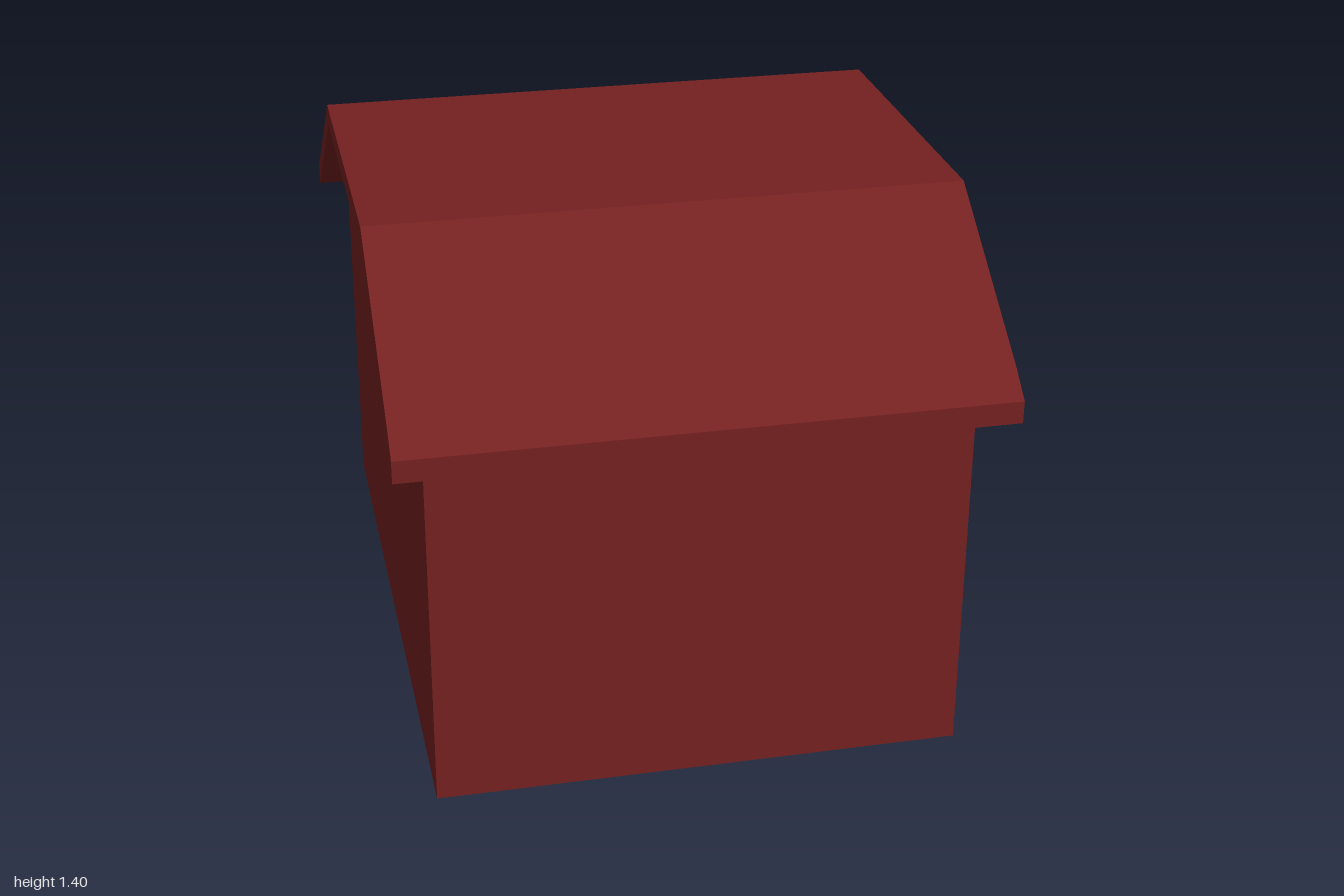
import * as THREE from 'three';

export function createModel() {
  const model = new THREE.Group();
  const red = new THREE.MeshStandardMaterial({ color: 0x742020, side: THREE.DoubleSide, flatShading: true });
  const grey = new THREE.MeshStandardMaterial({ color: 0xcccccc, side: THREE.DoubleSide, flatShading: true });

  const add = (name, geometry, material = red) => {
    const mesh = new THREE.Mesh(geometry, material);
    mesh.name = name;
    model.add(mesh);
    return mesh;
  };
  // Profiles are drawn as [-z, y] and turned to face +x
  const profile = (points) => new THREE.Shape(points.map(([a, y]) => new THREE.Vector2(a, y)));
  // Flat panels: upright across z, upright across x, or level
  const level = (x0, x1, z0, z1, y) => new THREE.PlaneGeometry(x1 - x0, z1 - z0)
    .rotateX(-Math.PI / 2).translate((x0 + x1) / 2, y, (z0 + z1) / 2);
  const upright = (x0, x1, height, z) => new THREE.PlaneGeometry(x1 - x0, height)
    .translate((x0 + x1) / 2, height / 2, z);

  const left = 0.685, right = -0.705, depth = 0.935, eave = 1.015;
  const doorHalf = 0.47, doorTop = 0.51, doorOut = 0.755, doorIn = 0.565;

  // Hollow body: two gable ends, two long walls and a floor
  const gable = () => profile([
    [-depth, 0], [depth, 0], [depth, eave], [0.47, 1.345], [-0.47, 1.345], [-depth, eave],
  ]);
  const doorEnd = gable();
  doorEnd.holes.push(new THREE.Path([
    new THREE.Vector2(-doorHalf, 0.001), new THREE.Vector2(-doorHalf, doorTop),
    new THREE.Vector2(doorHalf, doorTop), new THREE.Vector2(doorHalf, 0.001),
  ]));
  add('doorGable', new THREE.ShapeGeometry(doorEnd).rotateY(Math.PI / 2).translate(left, 0, 0));
  add('plainGable', new THREE.ShapeGeometry(gable()).rotateY(Math.PI / 2).translate(right, 0, 0));
  add('frontWall', upright(right, left, eave, depth));
  add('backWall', upright(right, left, eave, -depth));
  add('floor', level(right, left, -depth, depth, 0));

  // Three-sided roof slab with overhanging eaves
  const roof = profile([
    [-1, 0.96], [-0.47, 1.345], [0.47, 1.345], [1, 0.97],
    [1, 1.03], [0.47, 1.405], [-0.47, 1.405], [-0.93, 1.08], [-1, 1.02],
  ]);
  add('roof', new THREE.ExtrudeGeometry(roof, { depth: 1.57, bevelEnabled: false })
    .rotateY(Math.PI / 2).translate(-0.785, 0, 0));

  // Thin door surround passing through the gable wall
  for (const side of [1, -1]) {
    add(side > 0 ? 'doorFrontJamb' : 'doorBackJamb', upright(doorIn, doorOut, doorTop, side * doorHalf));
  }
  add('doorTop', level(left, doorOut, -doorHalf, doorHalf, doorTop));
  add('doorInnerTop', level(doorIn, left, -doorHalf, doorHalf, doorTop), grey);
  add('doorSill', level(left, doorOut, -doorHalf, doorHalf, 0));

  return model;
}
